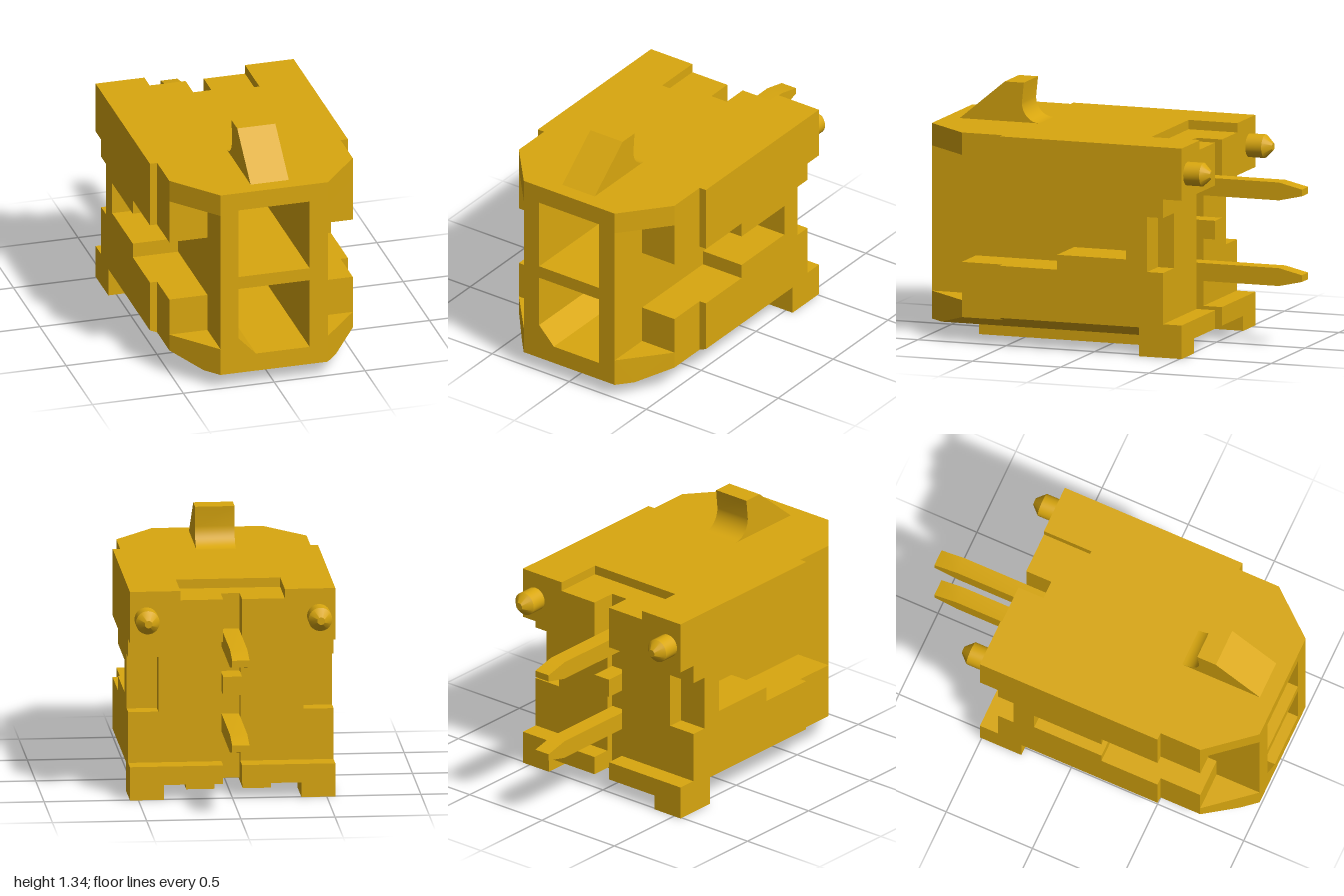
import * as THREE from 'three';
import { toCreasedNormals } from 'three/addons/utils/BufferGeometryUtils.js';
import { ConvexGeometry } from 'three/addons/geometries/ConvexGeometry.js';

export function createModel() {
  const model = new THREE.Group();
  model.name = 'connectorHousing';
  const amber = new THREE.MeshStandardMaterial({ color: 0xd9a70f });
  amber.name = 'amber plastic';

  const toShape = (pts) => new THREE.Shape(pts.map(([x, y]) => new THREE.Vector2(x, y)));
  const add = (name, geometry) => {
    const mesh = new THREE.Mesh(geometry, amber);
    mesh.name = name;
    model.add(mesh);
    return mesh;
  };
  // x-y outline swept from z0 to z1
  const slab = (name, pts, z0, z1, holes = []) => {
    const shape = toShape(pts);
    shape.holes = holes.map(toShape);
    const g = new THREE.ExtrudeGeometry(shape, { depth: z1 - z0, bevelEnabled: false });
    return add(name, g.translate(0, 0, z0));
  };
  // the same slab on both sides
  const pair = (name, pts, z0, z1) => {
    slab(name + 'Left', pts, z0, z1);
    slab(name + 'Right', pts.map(([x, y]) => [-x, y]), z0, z1);
  };
  // z-y outline swept across x, centred on x = 0
  const acrossX = (name, pts, width) => {
    const g = new THREE.ExtrudeGeometry(toShape(pts), { depth: width, bevelEnabled: false });
    g.rotateY(-Math.PI / 2).translate(width / 2, 0, 0);
    return add(name, toCreasedNormals(g, 0.6));
  };
  const rect = (x0, x1, y0, y1) => [[x0, y0], [x1, y0], [x1, y1], [x0, y1]];

  const W = 0.545, CORE = 0.295, BOTTOM = 0.08, TOP = 1.13;

  // Core with the two front sockets, the lower one keyed at a corner
  slab('socketCore', rect(-CORE, CORE, BOTTOM, TOP), -0.195, 1, [
    rect(-0.195, 0.195, 0.64, 1.03),
    [[-0.1, 0.18], [0.195, 0.18], [0.195, 0.57], [-0.195, 0.57], [-0.195, 0.28]],
  ]);

  // Side walls with the stepped slot
  const sideWall = (xo, gapLow, gapHigh, z0, z1) => {
    const edgeY = BOTTOM + (xo - 0.365) * 0.417;
    pair('upperSideWall', rect(CORE, xo, gapHigh, TOP), z0, z1);
    pair('lowerSideWall',
      [[CORE, BOTTOM], [0.365, BOTTOM], [xo, edgeY], [xo, gapLow], [CORE, gapLow]], z0, z1);
  };
  sideWall(0.505, 0.435, 0.77, 0.52, 0.75);
  sideWall(W, 0.435, 0.77, 0.195, 0.52);
  sideWall(W, 0.515, 0.69, -0.195, 0.195);

  // Tapered front corners, top and bottom
  for (const s of [1, -1]) {
    const wedge = (name, pts) =>
      add(name, new ConvexGeometry(pts.map(([x, y, z]) => new THREE.Vector3(s * x, y, z))));
    wedge('topFrontCorner', [1.01, TOP].flatMap((y) =>
      [[CORE, y, 1], [CORE, y, 0.75], [0.505, y, 0.75]]));
    wedge('bottomFrontCorner', [
      [CORE, 0.23, 1], [CORE, 0.23, 0.75], [0.505, 0.23, 0.75], [CORE, BOTTOM, 1],
      [CORE, BOTTOM, 0.75], [0.365, BOTTOM, 0.917], [0.365, BOTTOM, 0.75], [0.505, 0.138, 0.75],
    ]);
  }

  // Rear body, from front to back: plain, recessed on top, with feet, slotted
  const edge = [[0.365, BOTTOM], [W, 0.155]];
  const foot = [[0.365, BOTTOM], [0.365, 0], [W, 0]];
  const recess = (x0) => [[0.277, TOP], [0.277, 1.08], [x0, 1.08]];
  const pocket = [[W, 0.455], [0.385, 0.455], [0.385, 0.75], [W, 0.75]];
  pair('rearBody', [[0, BOTTOM], ...edge, [W, TOP], [0, TOP]], -0.235, -0.195);
  pair('recessedBody', [[0, BOTTOM], ...edge, [W, TOP], ...recess(0)], -0.27, -0.235);
  pair('footedBody', [[0, BOTTOM], ...foot, [W, TOP], ...recess(0)], -0.315, -0.27);
  pair('pocketBody', [[0, BOTTOM], ...foot, ...pocket, [W, TOP], ...recess(0)], -0.365, -0.315);
  pair('slottedBody', [[0.05, BOTTOM], ...foot, ...pocket, [W, TOP], ...recess(0.05)], -0.405, -0.365);
  pair('upperRearLip', [[0.05, 0.85], [W, 0.85], [W, TOP], ...recess(0.05)], -0.51, -0.405);
  pair('lowerRearLip', [[0.05, BOTTOM], ...foot, [W, 0.18], [0.05, 0.18]], -0.51, -0.405);
  slab('slotBridge', rect(-0.05, 0.05, 0.56, 0.66), -0.51, -0.365);

  // Rails under the body
  pair('bottomRail', rect(0.075, 0.225, 0, BOTTOM), -0.27, 0.76);
  // Outer runners are the feet; contact pins run through to the sockets
  for (const y of [0.84, 0.38]) {
    acrossX('contactPin', [
      [0.4, y - 0.048], [0.4, y + 0.048], [-0.87, y + 0.048],
      [-1, y + 0.018], [-1, y - 0.018], [-0.87, y - 0.048],
    ], 0.092);
  }

  // Locating pegs on the back
  for (const s of [1, -1]) {
    const profile = [[0, 0], [0.063, 0], [0.063, 0.09], [0.02, 0.135], [0, 0.135]]
      .map(([r, h]) => new THREE.Vector2(r, h));
    const g = toCreasedNormals(new THREE.LatheGeometry(profile, 32), 0.5);
    g.rotateX(-Math.PI / 2);
    add('locatingPeg', g).position.set(s * 0.458, 0.982, -0.51);
  }

  // Latch ramp on top with a hollowed back
  const curve = [];
  for (let i = 0; i <= 12; i++) {
    const a = (i / 12) * Math.PI / 2;
    curve.push([0.465 + 0.098 * Math.cos(a), 1.235 - 0.105 * Math.sin(a)]);
  }
  acrossX('latchRamp', [[0.915, TOP], [0.66, 1.343], [0.552, 1.343], ...curve], 0.21);

  return model;
}
